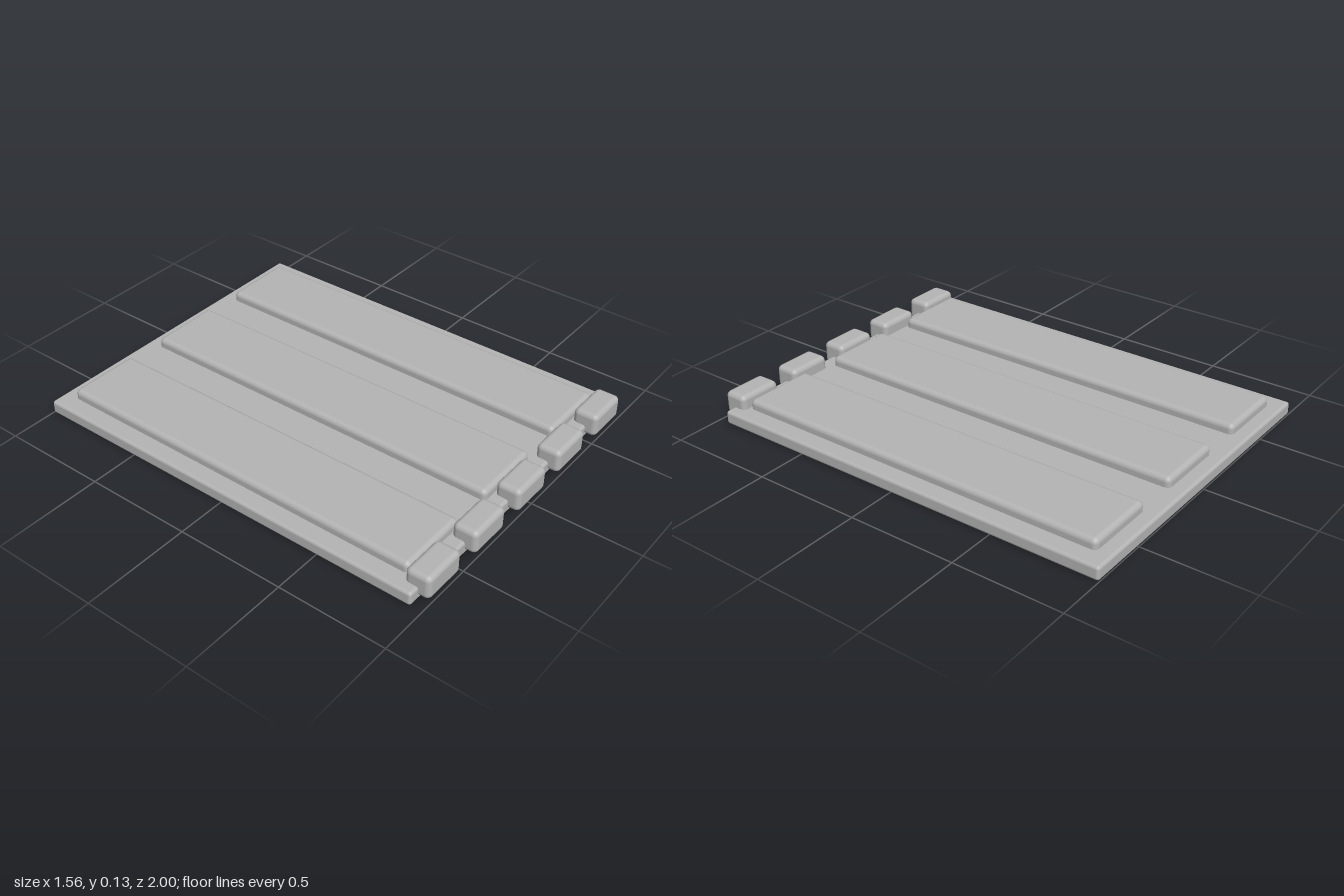
import * as THREE from 'three';
import { RoundedBoxGeometry } from 'three/addons/geometries/RoundedBoxGeometry.js';

export function createModel() {
  const model = new THREE.Group();
  const grey = new THREE.MeshStandardMaterial({ color: 0xb4b4b4 });
  grey.name = 'plain grey';

  // Rounded box given by its width, its y and z ranges and its edge radius
  function slab(name, x, width, [y0, y1], [z0, z1], radius) {
    const geometry = new RoundedBoxGeometry(width, y1 - y0, z1 - z0, 4, radius);
    const mesh = new THREE.Mesh(geometry, grey);
    mesh.name = name;
    mesh.position.set(x, (y0 + y1) / 2, (z0 + z1) / 2);
    model.add(mesh);
  }

  // Flat base plate
  slab('basePlate', 0, 1.56, [0, 0.063], [-1, 0.95], 0.014);

  // Three long raised panels, sunk into the plate
  for (let i = -1; i <= 1; i++) {
    slab('raisedPanel', i * 0.527, 0.342, [0.02, 0.108], [-0.935, 0.88], 0.024);
  }

  // Row of five blocks along the front edge
  for (let i = -2; i <= 2; i++) {
    slab('frontBlock', i * 0.3125, 0.212, [0.016, 0.126], [0.885, 1], 0.024);
  }

  return model;
}
